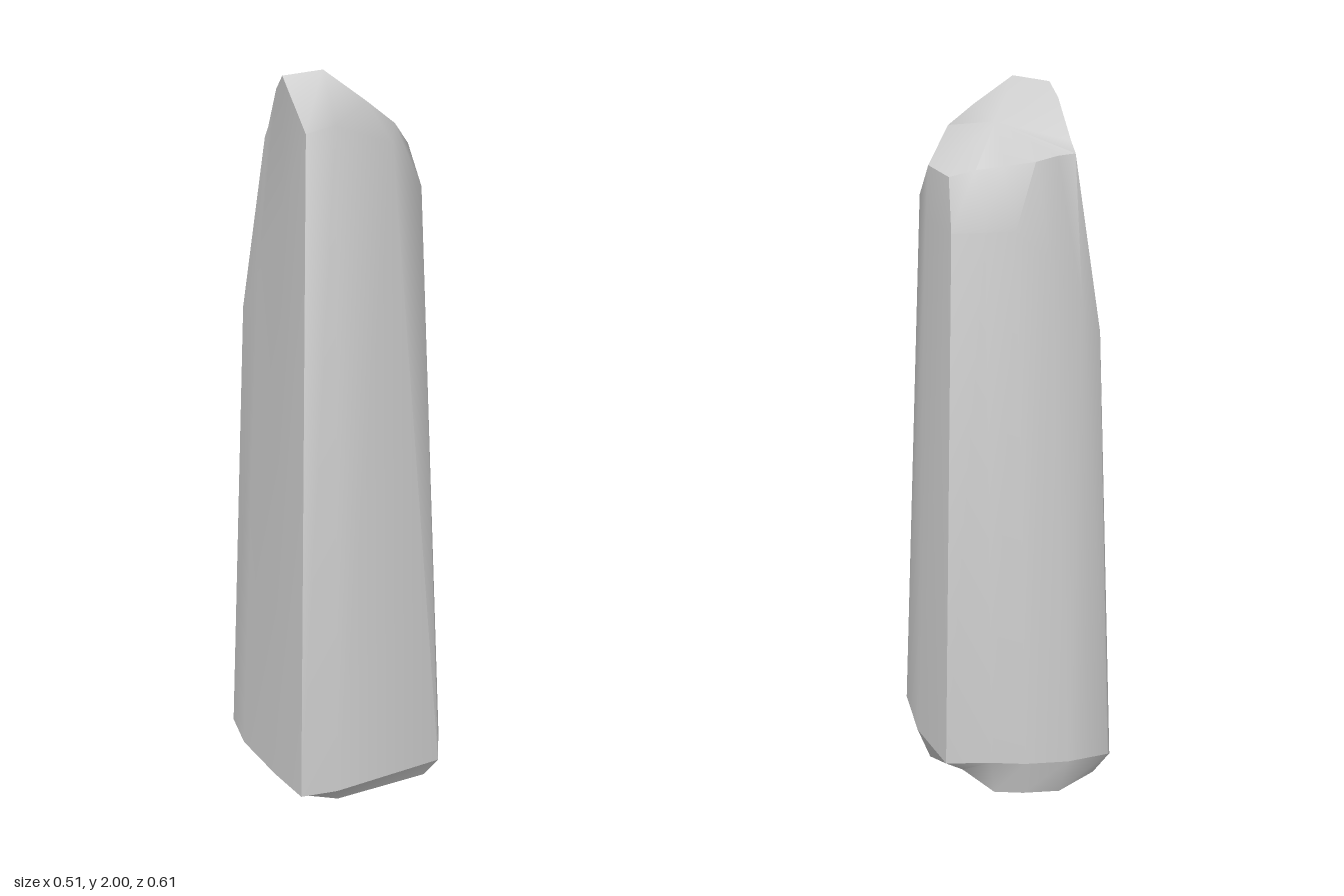
import * as THREE from 'three';
import { toCreasedNormals } from 'three/addons/utils/BufferGeometryUtils.js';

// Cross-sections as [x, y, z], starting at the front left edge and running
// counter-clockwise seen from above.
const foot = [
  [-0.23, 0.03, 0.257], [-0.14, 0.05, 0.303], [0.19, 0.06, 0.295], [0.22, 0.12, 0.243],
  [0.255, 0.1, 0.08], [0.255, 0.1, -0.125], [0.15, 0.12, -0.21], [0.065, 0.12, -0.26],
  [-0.05, 0.12, -0.305], [-0.205, 0.08, -0.272], [-0.245, 0.04, -0.22], [-0.255, 0.02, -0.11],
  [-0.242, 0.02, 0.1],
];
const shoulder = [
  [-0.2, 1.85, 0.25], [-0.12, 1.87, 0.25], [0.04, 1.82, 0.252], [0.17, 1.7, 0.17],
  [0.22, 1.66, 0.02], [0.222, 1.65, -0.14], [0.14, 1.65, -0.168], [0.06, 1.65, -0.183],
  [-0.04, 1.57, -0.184], [-0.14, 1.44, -0.182], [-0.205, 1.35, -0.17], [-0.202, 1.45, -0.07],
  [-0.2, 1.65, 0.1],
];
const rim = [
  [-0.215, 1.985, 0.145], [-0.13, 2, 0.2], [-0.03, 1.925, 0.24], [0.045, 1.87, 0.25],
  [0.21, 1.8, 0.02], [0.208, 1.785, -0.1], [0.14, 1.8, -0.115], [0.06, 1.805, -0.12],
  [-0.03, 1.81, -0.12], [-0.1, 1.82, -0.11], [-0.165, 1.82, -0.09], [-0.165, 1.85, -0.065],
  [-0.195, 1.95, 0.06],
];

// Skin over stacked rings, closed by a fan at the lower or upper end
function loft(name, rings, hub, hubOnTop) {
  const n = rings[0].length;
  const index = [];
  const last = (rings.length - 1) * n;
  const hubId = rings.length * n;
  for (let i = 0; i < n; i++) {
    const j = (i + 1) % n;
    for (let r = 0; r < last; r += n) {
      index.push(r + i, r + j, r + n + j, r + i, r + n + j, r + n + i);
    }
    if (hubOnTop) index.push(hubId, last + i, last + j);
    else index.push(hubId, j, i);
  }
  const geometry = new THREE.BufferGeometry();
  geometry.setAttribute('position', new THREE.Float32BufferAttribute([...rings, hub].flat(2), 3));
  geometry.setIndex(index);
  const material = new THREE.MeshStandardMaterial({ color: 0xcccccc });
  const mesh = new THREE.Mesh(toCreasedNormals(geometry, 0.8), material);
  mesh.name = name;
  return mesh;
}

export function createModel() {
  // Underside is the foot drawn inwards, with one chipped corner
  const underside = foot.map(([x, , z]) => [x * 0.86, x < -0.15 ? 0.008 : 0, z * 0.88]);
  underside[5] = [0.2, 0.06, -0.12];

  const group = new THREE.Group();
  group.name = 'stonePillar';
  group.add(
    loft('shaft', [foot, shoulder, rim], [0, 1.897, 0.05], true),
    loft('base', [underside, foot], [0, 0, 0], false),
  );
  return group;
}
